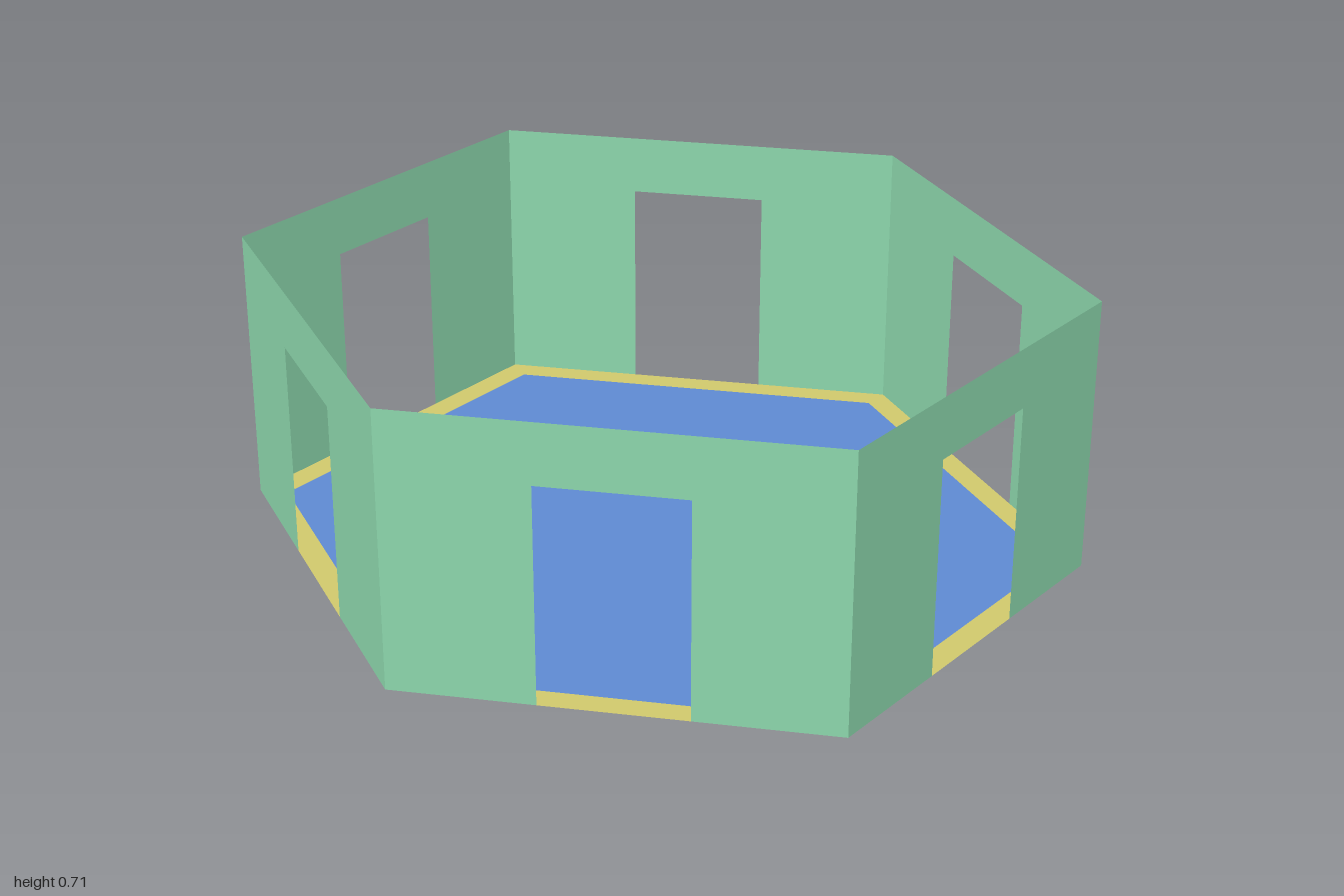
import * as THREE from 'three';

const HALF_WIDTH = 0.94;
const WALL_HEIGHT = 0.715;
const DOOR_HEIGHT = 0.56;
const INNER_SCALE = 0.93;

// Hexagon corners, from the front left corner around the plan
const corners = [[-1, 0.5], [0, 1], [1, 0.5], [1, -0.5], [0, -1], [-1, -0.5]]
  .map(([x, z]) => new THREE.Vector2(x * HALF_WIDTH, z));

const material = (color) =>
  new THREE.MeshStandardMaterial({ color, side: THREE.DoubleSide, flatShading: true });

const scaledCorners = (s) => corners.map((c) => c.clone().multiplyScalar(s));

function floorMesh(shape, mat, name) {
  const mesh = new THREE.Mesh(new THREE.ShapeGeometry(shape).rotateX(-Math.PI / 2), mat);
  mesh.name = name;
  return mesh;
}

// Thin wall panel with a doorway in its middle third
function wallGeometry(length) {
  const w = length / 2, d = length / 6;
  const outline = [
    [-w, 0], [-d, 0], [-d, DOOR_HEIGHT], [d, DOOR_HEIGHT],
    [d, 0], [w, 0], [w, WALL_HEIGHT], [-w, WALL_HEIGHT],
  ].map(([x, y]) => new THREE.Vector2(x, y));
  return new THREE.ShapeGeometry(new THREE.Shape(outline));
}

export function createModel() {
  const model = new THREE.Group();
  model.name = 'hexagonalRoom';

  // Floor panel and the border around it
  const border = new THREE.Shape(corners);
  border.holes.push(new THREE.Path(scaledCorners(INNER_SCALE)));
  model.add(floorMesh(border, material(0xd0c86c), 'floorBorder'));
  model.add(floorMesh(new THREE.Shape(scaledCorners(INNER_SCALE)), material(0x5e8ad2), 'floorPanel'));

  // Six walls, one on each edge
  const wallMaterial = material(0x8cd6ac);
  corners.forEach((a, i) => {
    const b = corners[(i + 1) % corners.length];
    const wall = new THREE.Mesh(wallGeometry(a.distanceTo(b)), wallMaterial);
    wall.name = `wall${i + 1}`;
    wall.position.set((a.x + b.x) / 2, 0, (a.y + b.y) / 2);
    wall.rotation.y = Math.atan2(a.y - b.y, b.x - a.x);
    model.add(wall);
  });

  return model;
}
